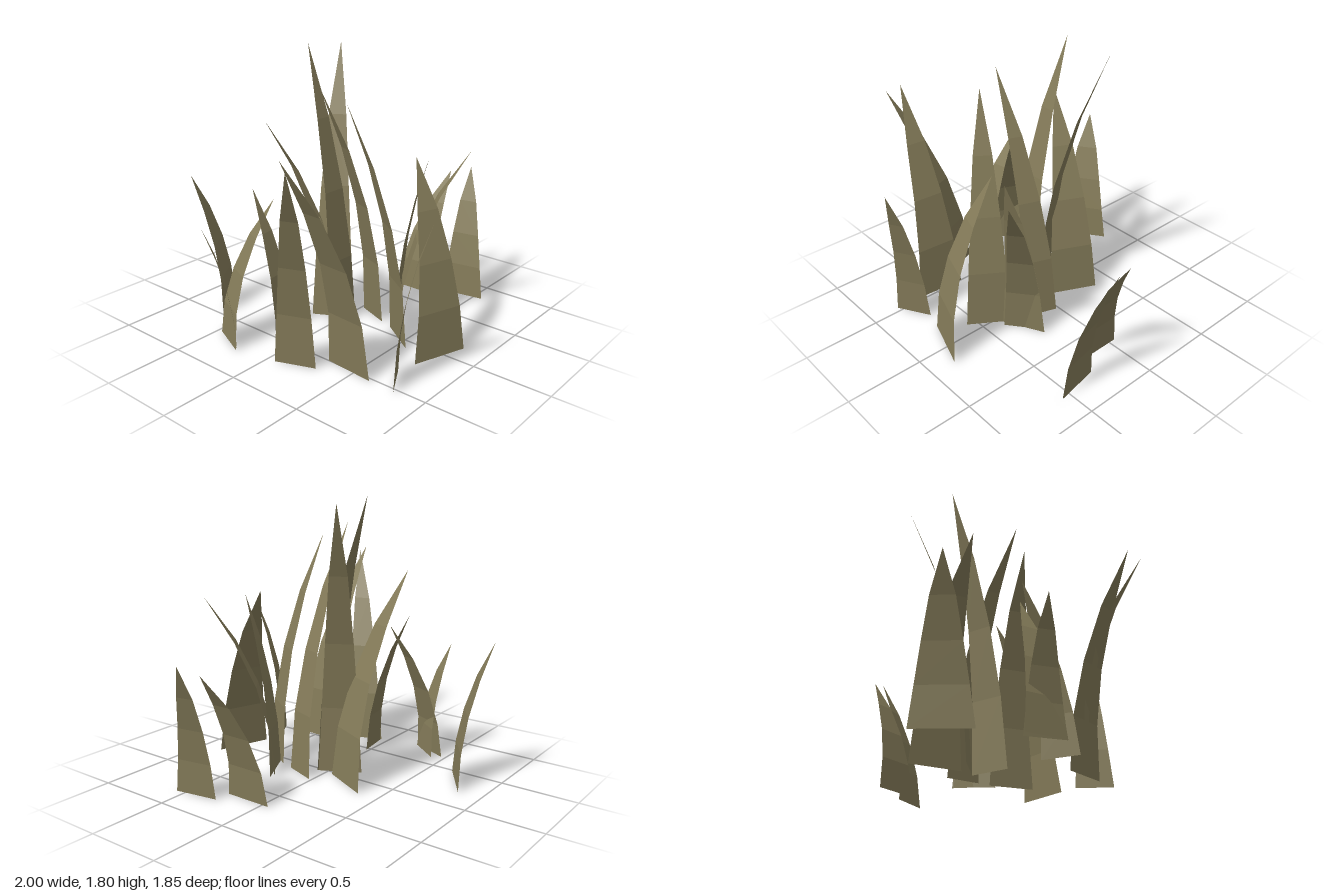
import * as THREE from 'three';

const SEGMENTS = 4;

// A flat strip of grass: stands on the base line a-b, narrows and bends over to the tip.
// a, b and tip are [x, z] on the ground plane.
function bladeGeometry(a, b, tip, height) {
  const mid = [(a[0] + b[0]) / 2, (a[1] + b[1]) / 2];
  const half = [(b[0] - a[0]) / 2, (b[1] - a[1]) / 2];
  const pos = [], index = [];
  for (let i = 0; i <= SEGMENTS; i++) {
    const t = i / SEGMENTS;
    const bend = t * t;
    const width = Math.pow(1 - t, 0.65);
    const x = mid[0] + (tip[0] - mid[0]) * bend;
    const z = mid[1] + (tip[1] - mid[1]) * bend;
    if (i === SEGMENTS) {
      pos.push(x, height, z);
      break;
    }
    pos.push(x - half[0] * width, height * t, z - half[1] * width);
    pos.push(x + half[0] * width, height * t, z + half[1] * width);
    const k = i * 2;
    index.push(k, k + 1, k + 2);
    if (i < SEGMENTS - 1) index.push(k + 1, k + 3, k + 2);
  }
  const indexed = new THREE.BufferGeometry();
  indexed.setAttribute('position', new THREE.Float32BufferAttribute(pos, 3));
  indexed.setIndex(index);
  const geometry = indexed.toNonIndexed();
  geometry.computeVertexNormals();
  return geometry;
}

export function createModel() {
  const group = new THREE.Group();
  group.name = 'grassClump';
  const dryGrass = new THREE.MeshStandardMaterial({
    color: 0x847b59, side: THREE.DoubleSide, flatShading: true,
  });
  dryGrass.name = 'dryGrass';

  // base end, base end, tip, height
  const blades = [
    // back left
    [[-0.49, -0.65], [-0.205, -0.845], [-0.475, -0.925], 0.915],
    [[-0.62, -0.415], [-0.77, -0.215], [-0.82, -0.435], 0.765],
    [[-0.665, -0.47], [-0.775, -0.22], [-0.47, -0.16], 0.92],
    // left
    [[-0.7, 0.055], [-0.47, 0.02], [-0.55, -0.26], 0.985],
    [[-0.715, 0.055], [-0.62, 0.3], [-1.0, 0.455], 1.33],
    [[-0.5, 0.3], [-0.525, 0.625], [-0.955, 0.37], 1.365],
    [[-0.535, 0.805], [-0.325, 0.685], [-0.345, 0.92], 1.0],
    // centre
    [[0.18, -0.36], [0.03, -0.05], [-0.3, -0.395], 1.335],
    [[-0.105, -0.19], [0.03, 0.06], [0.3, -0.28], 1.77],
    [[-0.22, 0.06], [0.035, 0.065], [-0.04, -0.26], 1.8],
    [[0.185, 0.02], [0.105, 0.235], [-0.315, 0.08], 1.605],
    [[0.08, 0.32], [-0.085, 0.565], [-0.27, 0.245], 1.525],
    // front
    [[0.08, 0.385], [0.285, 0.225], [0.46, 0.64], 1.165],
    [[0.05, 0.37], [0.31, 0.24], [0.24, 0.485], 1.165],
    [[-0.205, 0.72], [0.145, 0.84], [0.11, 0.47], 1.17],
    // right
    [[0.66, 0.27], [0.66, -0.045], [0.955, 0.185], 0.835],
    [[0.77, 0.275], [0.82, 0.56], [1.0, 0.32], 0.875],
  ];

  blades.forEach(([a, b, tip, height], i) => {
    const blade = new THREE.Mesh(bladeGeometry(a, b, tip, height), dryGrass);
    blade.name = `grassBlade${i + 1}`;
    group.add(blade);
  });
  return group;
}
